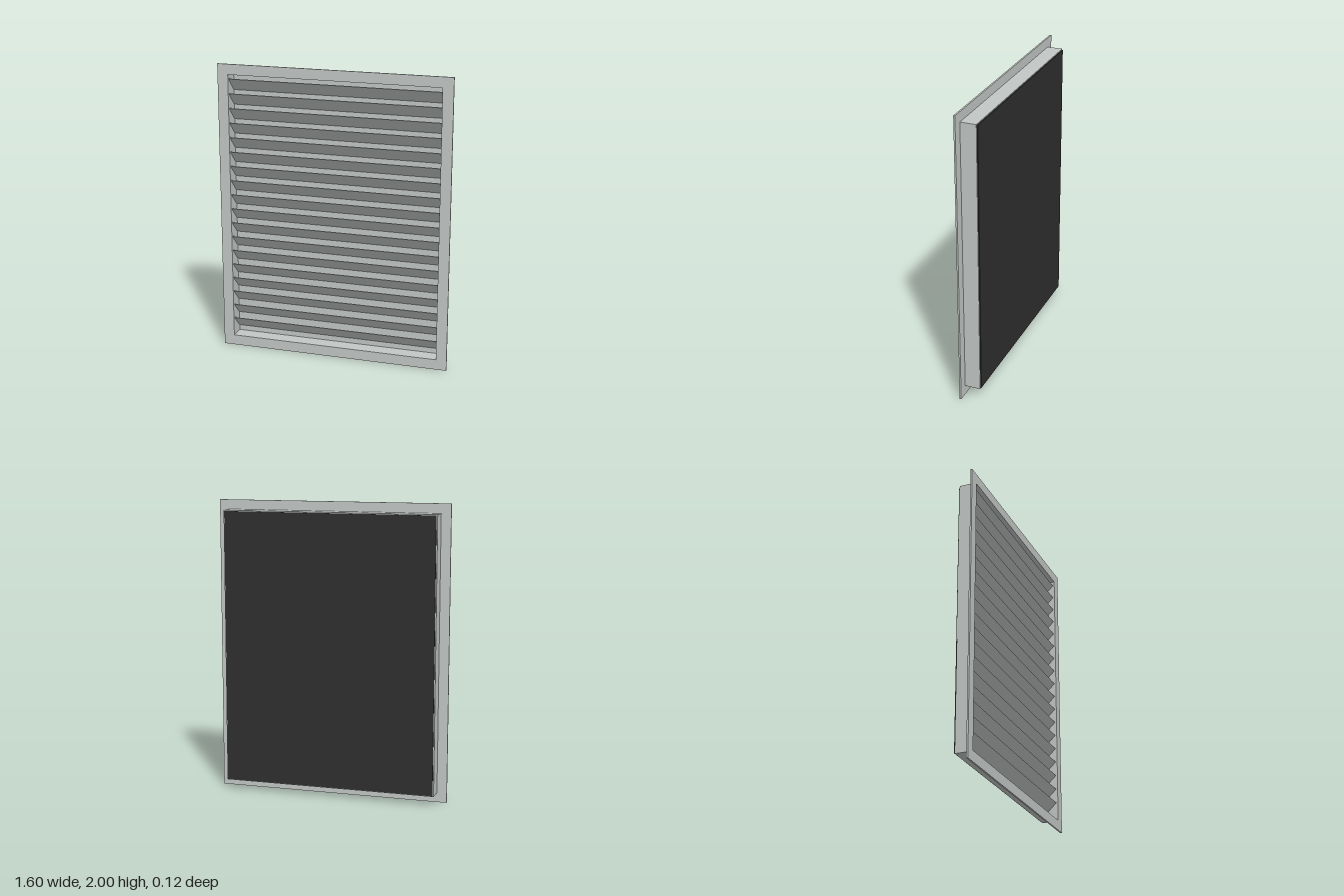
import * as THREE from 'three';

// Rectangle outline centred on (0, 1), used for shapes and their holes
function rect(target, halfW, halfH) {
  target.moveTo(-halfW, 1 - halfH);
  target.lineTo(halfW, 1 - halfH);
  target.lineTo(halfW, 1 + halfH);
  target.lineTo(-halfW, 1 + halfH);
  target.closePath();
  return target;
}

// Rectangular ring extruded from z0 to z1
function ring(outer, inner, z0, z1) {
  const shape = rect(new THREE.Shape(), ...outer);
  shape.holes.push(rect(new THREE.Path(), ...inner));
  const geo = new THREE.ExtrudeGeometry(shape, { depth: z1 - z0, bevelEnabled: false });
  return geo.translate(0, 0, z0);
}

export function createModel() {
  const group = new THREE.Group();
  const metal = new THREE.MeshStandardMaterial({ color: 0xc2c7c5 });
  metal.name = 'light grey metal';
  const dark = new THREE.MeshStandardMaterial({ color: 0x2e2e2e });
  dark.name = 'dark backing';

  function add(name, geo, mat, parent = group) {
    const mesh = new THREE.Mesh(geo, mat);
    mesh.name = name;
    parent.add(mesh);
    return mesh;
  }

  const opening = [0.727, 0.929];

  // Thin flange at the front and the sleeve behind it
  add('frontFlange', ring([0.8, 1], opening, 0.051, 0.062), metal);
  add('sleeve', ring([0.733, 0.935], opening, -0.055, 0.051), metal);

  // Closed rear of the sleeve, with a dark sheet on its outside
  add('rearPanel', new THREE.BoxGeometry(1.454, 1.858, 0.011).translate(0, 1, -0.0495), metal);
  add('backingSheet', new THREE.BoxGeometry(1.452, 1.858, 0.007).translate(0, 1, -0.0585), dark);

  // Louvre slats, front edge high and rear edge low
  const slats = new THREE.Group();
  slats.name = 'slats';
  group.add(slats);
  const slatGeo = new THREE.BoxGeometry(1.454, 0.004, 0.127).rotateX(-Math.atan2(0.09, 0.093));
  for (let i = 0; i < 18; i++) {
    add('slat', slatGeo, metal, slats).position.set(0, 1.855 - i * 0.1, 0.004);
  }

  return group;
}
